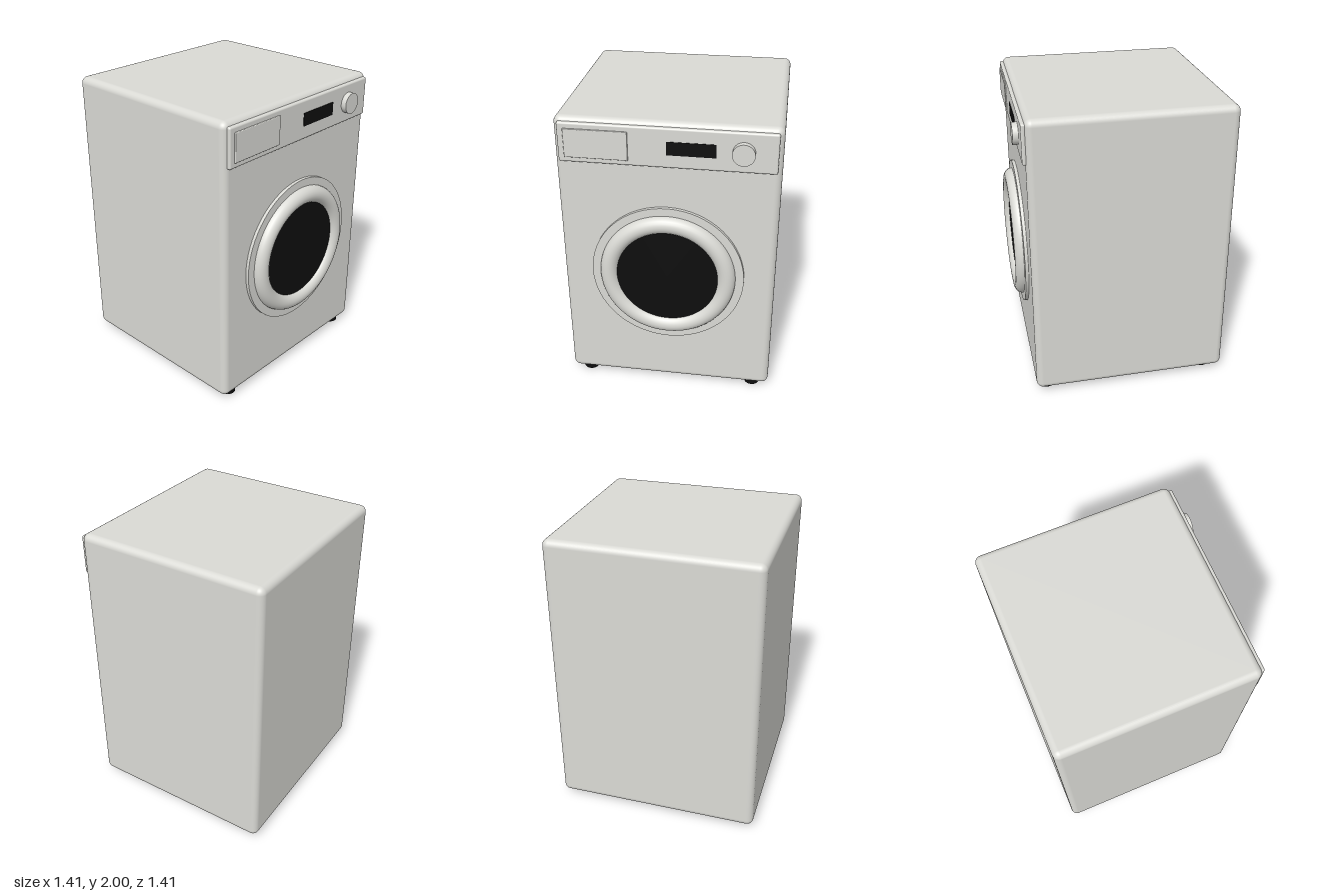
import * as THREE from 'three';
import { RoundedBoxGeometry } from 'three/addons/geometries/RoundedBoxGeometry.js';

export function createModel() {
  const model = new THREE.Group();
  model.name = 'washingMachine';

  const enamel = new THREE.MeshStandardMaterial({ color: 0xdadad5 });
  enamel.name = 'warm white enamel';
  const black = new THREE.MeshStandardMaterial({ color: 0x0e0e0e });
  black.name = 'black';

  const add = (name, geometry, material, x, y, z) => {
    const mesh = new THREE.Mesh(geometry, material);
    mesh.name = name;
    mesh.position.set(x, y, z);
    model.add(mesh);
    return mesh;
  };
  // Rounded box given by its extents
  const box = (name, [x0, x1], [y0, y1], [z0, z1], radius, material) =>
    add(name, new RoundedBoxGeometry(x1 - x0, y1 - y0, z1 - z0, 5, radius), material,
      (x0 + x1) / 2, (y0 + y1) / 2, (z0 + z1) / 2);
  // Disc facing the front, between two depths
  const disc = (name, radius, x, y, z0, z1, material) =>
    add(name, new THREE.CylinderGeometry(radius, radius, z1 - z0, 64).rotateX(Math.PI / 2),
      material, x, y, (z0 + z1) / 2);

  // Cabinet
  box('cabinet', [-0.705, 0.705], [0.035, 2], [-0.705, 0.627], 0.045, enamel);

  // Control panel with detergent drawer, display and dial
  box('controlPanel', [-0.677, 0.677], [1.71, 1.972], [0.59, 0.647], 0.013, enamel);
  box('detergentDrawer', [-0.638, -0.237], [1.745, 1.935], [0.62, 0.656], 0.005, enamel);
  add('display', new THREE.BoxGeometry(0.305, 0.088, 0.008), black, 0.152, 1.842, 0.646);
  disc('programDial', 0.07, 0.47, 1.842, 0.63, 0.684, enamel);

  // Door: flange, rounded rim and dark glass
  const doorY = 0.921;
  disc('doorFlange', 0.505, 0, doorY, 0.61, 0.649, enamel);
  add('doorRim', new THREE.TorusGeometry(0.39, 0.06, 24, 96), enamel, 0, doorY, 0.645);
  disc('doorGlass', 0.345, 0, doorY, 0.64, 0.67, black);

  // Feet
  for (const x of [-0.59, 0.59]) {
    for (const z of [-0.585, 0.547]) {
      add('foot', new THREE.CylinderGeometry(0.052, 0.052, 0.05, 32), black, x, 0.025, z);
    }
  }
  return model;
}
